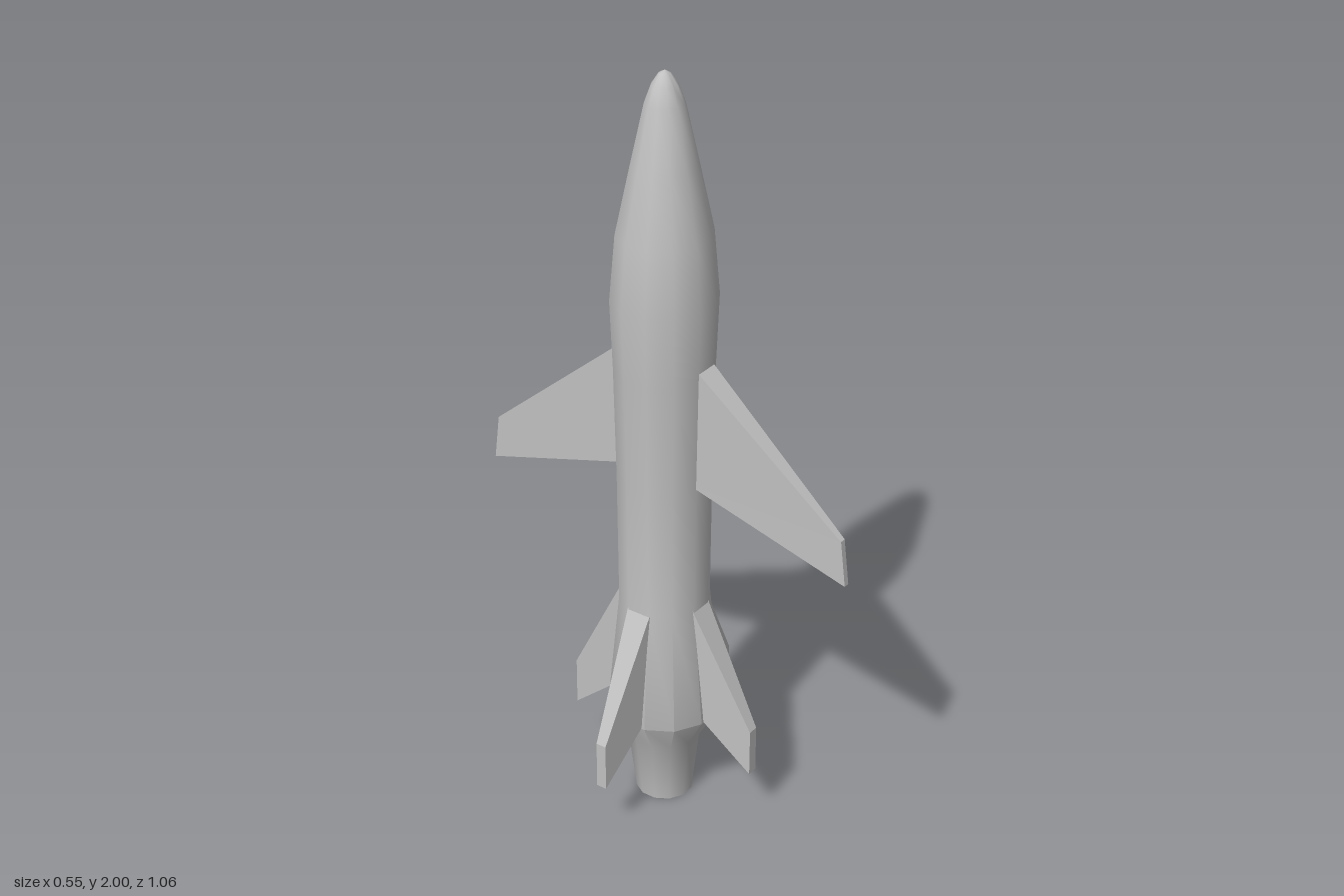
import * as THREE from 'three';
import { toCreasedNormals } from 'three/addons/utils/BufferGeometryUtils.js';

const grey = new THREE.MeshStandardMaterial({ color: 0xc0c0c0 });
grey.name = 'plain grey';

// Swept, tapering fin along +x; root and tip are [leading x, leading y, trailing x, trailing y, half thickness]
function finGeometry(root, tip) {
  const g = new THREE.BoxGeometry(1, 1, 1).toNonIndexed();
  const p = g.attributes.position;
  for (let i = 0; i < p.count; i++) {
    const end = p.getX(i) < 0 ? root : tip;
    const k = p.getY(i) > 0 ? 0 : 2;
    p.setXYZ(i, end[k], end[k + 1], Math.sign(p.getZ(i)) * end[4]);
  }
  g.computeVertexNormals();
  return g;
}

function addFins(group, name, geometry, quarterTurns) {
  for (const q of quarterTurns) {
    const fin = new THREE.Mesh(geometry, grey);
    fin.name = name + (q + 1);
    fin.rotation.y = q * Math.PI / 2;
    group.add(fin);
  }
}

export function createModel() {
  const model = new THREE.Group();
  model.name = 'wingedRocket';

  // Twelve-sided fuselage with hollow nozzle; radii are measured across the flats
  const profile = [
    [0, 0.06], [0.042, 0.06], [0.046, 0], [0.072, 0], [0.092, 0.18], [0.143, 0.27],
    [0.112, 0.6], [0.115, 0.95], [0.121, 1.25], [0.128, 1.43], [0.114, 1.6],
    [0.079, 1.77], [0.047, 1.92], [0.031, 1.965], [0.014, 1.992], [0, 2],
  ].map(([r, y]) => new THREE.Vector2(r / Math.cos(Math.PI / 12), y));
  const body = new THREE.Mesh(
    toCreasedNormals(new THREE.LatheGeometry(profile, 12, Math.PI / 12), 0.75), grey);
  body.name = 'fuselage';
  model.add(body);

  // Pair of swept wings, front and back
  addFins(model, 'wing',
    finGeometry([0.115, 1.28, 0.09, 0.963, 0.032], [0.515, 0.94, 0.53, 0.82, 0.008]), [1, 3]);

  // Four tail fins
  addFins(model, 'tailFin',
    finGeometry([0.09, 0.638, 0.09, 0.319, 0.036], [0.275, 0.285, 0.275, 0.155, 0.014]), [0, 1, 2, 3]);

  return model;
}
